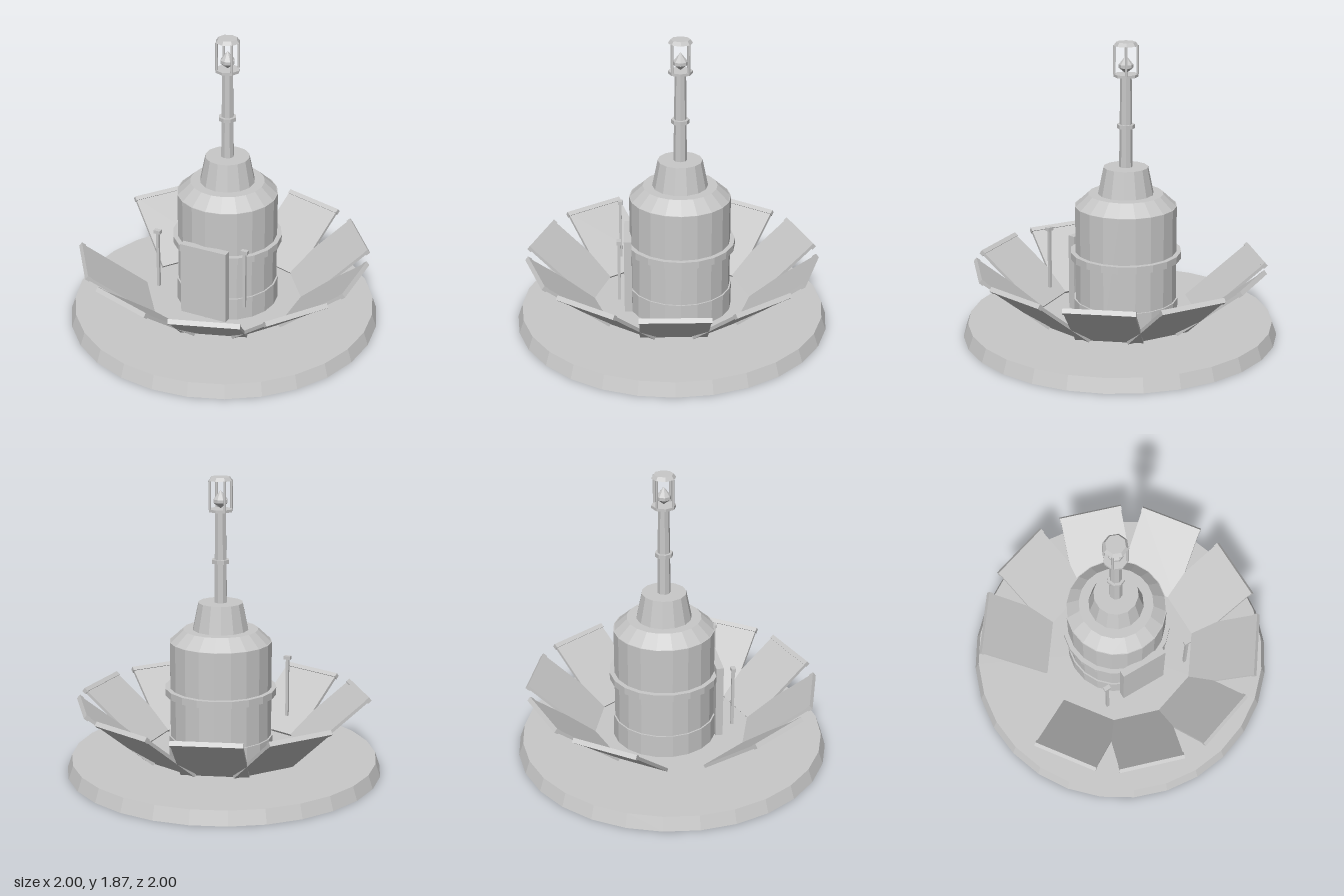
import * as THREE from 'three';

export function createModel() {
  const model = new THREE.Group();
  const grey = new THREE.MeshStandardMaterial({ color: 0xc8c8c8 });
  grey.name = 'grey';
  grey.flatShading = true;
  grey.side = THREE.DoubleSide;

  function add(name, geometry, x = 0, y = 0, z = 0, parent = model) {
    const mesh = new THREE.Mesh(geometry, grey);
    mesh.name = name;
    mesh.position.set(x, y, z);
    parent.add(mesh);
    return mesh;
  }
  // tapered drum standing between two heights
  function drum(name, rBottom, rTop, y0, y1, sides, parent, x = 0, z = 0) {
    return add(name, new THREE.CylinderGeometry(rTop, rBottom, y1 - y0, sides), x, (y0 + y1) / 2, z, parent);
  }
  // turned shell through [radius, height] points
  function turned(name, points, sides, parent) {
    return add(name, new THREE.LatheGeometry(points.map(([r, y]) => new THREE.Vector2(r, y)), sides), 0, 0, 0, parent);
  }

  // round ground plate, hollow and open underneath
  turned('basePlate', [[1, 0], [0.97, 0.085], [0, 0.085]], 28, model);

  // tower, set slightly towards the back
  const tower = new THREE.Group();
  tower.name = 'tower';
  tower.position.z = -0.05;
  model.add(tower);
  drum('foot', 0.33, 0.33, 0.09, 0.24, 20, tower);
  drum('body', 0.32, 0.32, 0.1, 0.845, 20, tower);
  drum('bodyBand', 0.35, 0.35, 0.505, 0.55, 20, tower);
  drum('shoulder', 0.315, 0.235, 0.845, 0.92, 20, tower);
  drum('neck', 0.175, 0.14, 0.92, 1.09, 14, tower);
  drum('mast', 0.042, 0.035, 1.09, 1.66, 8, tower);
  drum('mastCollar', 0.056, 0.056, 1.335, 1.36, 8, tower);

  // lantern on top of the mast
  drum('lanternFloor', 0.076, 0.076, 1.655, 1.672, 8, tower);
  drum('lanternRoof', 0.076, 0.06, 1.845, 1.868, 8, tower);
  for (const x of [-0.05, 0.05])
    for (const z of [-0.05, 0.05])
      drum('lanternPost', 0.008, 0.008, 1.67, 1.848, 6, tower, x, z);
  turned('lamp', [[0, 1.675], [0.045, 1.71], [0.045, 1.73], [0, 1.787]], 8, tower);

  // door slab and the two signal posts beside it
  add('door', new THREE.BoxGeometry(0.314, 0.49, 0.048), 0, 0.355, 0.281);
  for (const side of [-1, 1]) {
    add('signalPost', new THREE.BoxGeometry(0.018, 0.38, 0.018), side * 0.298, 0.47, 0.333);
    add('signalHead', new THREE.BoxGeometry(0.043, 0.022, 0.028), side * 0.298, 0.67, 0.333);
  }

  // nine tilted panels on a ten-sided ring, open on the right side
  const panelGeometry = new THREE.BoxGeometry(0.53, 0.02, 0.418);
  const lipGeometry = new THREE.BoxGeometry(0.03, 0.03, 0.426);
  for (let i = 0; i < 10; i++) {
    if (i === 5) continue;
    const petal = new THREE.Group();
    petal.name = 'petal';
    petal.rotation.y = (i * Math.PI) / 5;
    model.add(petal);
    const tilt = new THREE.Group();
    tilt.name = 'petalTilt';
    tilt.position.set(0.689, 0.285, 0);
    tilt.rotation.z = 0.68;
    petal.add(tilt);
    add('petalPanel', panelGeometry, 0, 0, 0, tilt);
    add('petalLip', lipGeometry, 0.257, 0.0, 0, tilt);
  }
  return model;
}
